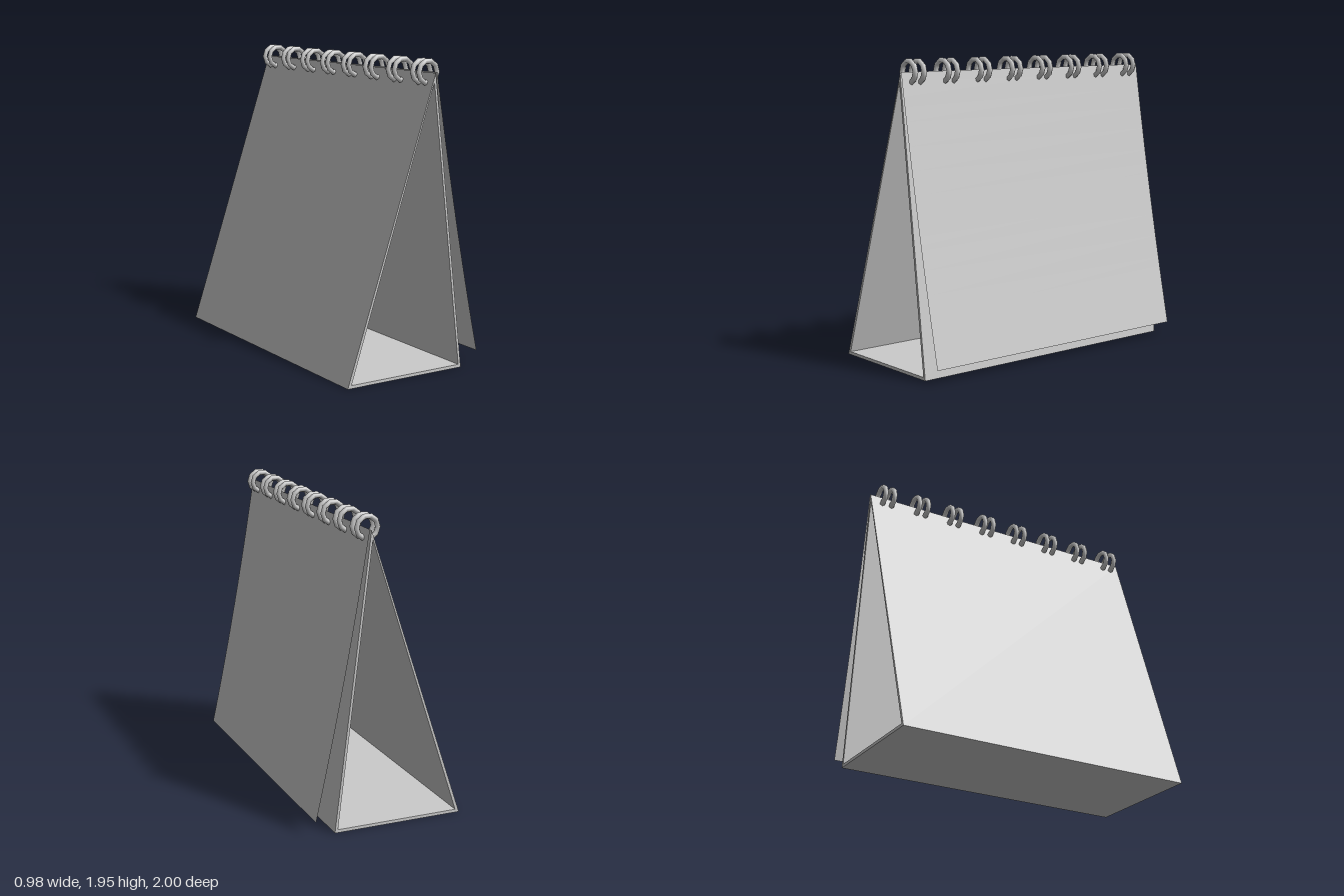
import * as THREE from 'three';

const material = new THREE.MeshStandardMaterial({ color: 0xcccccc, roughness: 0.8 });
const sheetMaterial = new THREE.MeshStandardMaterial({ color: 0xcccccc, roughness: 0.8, side: THREE.DoubleSide });
const LENGTH = 2;
const points = (list) => list.map(([x, y]) => new THREE.Vector2(x, y));

// Folded card stand: a thin-walled triangular tube, open at both ends
function makeStand() {
  const outline = new THREE.Shape(points([[-0.49, 0], [0.365, 0], [0.137, 1.865]]));
  outline.holes.push(new THREE.Path(points([[-0.463, 0.02], [0.128, 1.81], [0.345, 0.02]])));
  const geometry = new THREE.ExtrudeGeometry(outline, { depth: LENGTH, bevelEnabled: false });
  geometry.translate(0, 0, -LENGTH / 2);
  const stand = new THREE.Mesh(geometry, material);
  stand.name = 'stand';
  return stand;
}

// Loose page that hangs from the rings and swings gently outwards
function makePage() {
  const curve = new THREE.QuadraticBezierCurve(
    new THREE.Vector2(0.148, 1.87), new THREE.Vector2(0.29, 0.98), new THREE.Vector2(0.49, 0.09));
  const rows = 12;
  const geometry = new THREE.PlaneGeometry(LENGTH, 1, 1, rows);
  const position = geometry.attributes.position;
  for (let i = 0; i < position.count; i++) {
    const p = curve.getPoint(0.5 - position.getY(i));
    position.setXYZ(i, p.x, p.y, -position.getX(i));
  }
  geometry.computeVertexNormals();
  const page = new THREE.Mesh(geometry, sheetMaterial);
  page.name = 'page';
  return page;
}

// Twin wire loops spaced along the top fold
function makeBinding() {
  const binding = new THREE.Group();
  binding.name = 'binding';
  const geometry = new THREE.TorusGeometry(0.068, 0.0175, 6, 10);
  const pairs = 8;
  for (let i = 0; i < pairs; i++) {
    const pair = new THREE.Group();
    pair.name = 'ringPair';
    pair.position.set(0.13, 1.868, THREE.MathUtils.lerp(-0.89, 0.897, i / (pairs - 1)));
    for (const side of [-1, 1]) {
      const ring = new THREE.Mesh(geometry, material);
      ring.name = 'ring';
      ring.position.z = side * 0.033;
      pair.add(ring);
    }
    binding.add(pair);
  }
  return binding;
}

export function createModel() {
  const model = new THREE.Group();
  model.name = 'deskCalendar';
  model.add(makeStand(), makePage(), makeBinding());
  return model;
}
